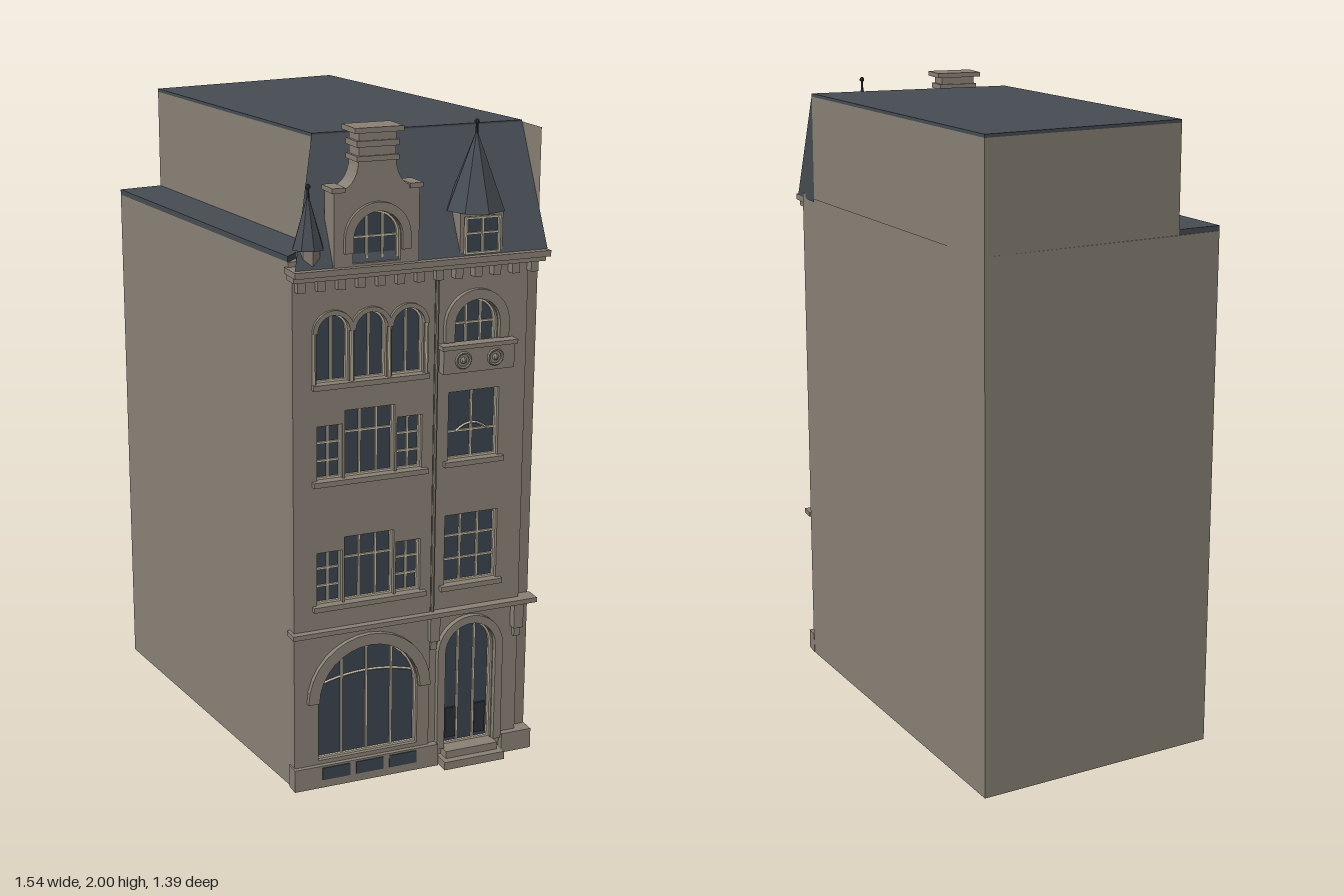
import * as THREE from 'three';

const mat = (name, color, side = THREE.FrontSide) => {
  const m = new THREE.MeshStandardMaterial({ color, side, flatShading: true });
  m.name = name;
  return m;
};

export function createModel() {
  const stone = mat('stone', 0x8a8276), slate = mat('slate', 0x474d54);
  const glass = mat('glass', 0x3b444e), trim = mat('cream trim', 0xc6bda6);
  const iron = mat('dark iron', 0x2b3036);
  const root = new THREE.Group();
  root.name = 'townhouse';

  // The street front has its own frame: x along the wall, z outwards
  const ANGLE = 0.845, OX = 0.203, OZ = 0.658;
  const c = Math.cos(ANGLE), s = Math.sin(ANGLE);
  const facade = new THREE.Group();
  facade.name = 'facade';
  facade.rotation.y = ANGLE;
  facade.position.set(OX, 0, OZ);
  root.add(facade);
  const world = (u, n) => [OX + c * u + s * n, OZ - s * u + c * n];

  const add = (name, geo, m, parent = facade) => {
    const mesh = new THREE.Mesh(geo, m);
    mesh.name = name;
    parent.add(mesh);
    return mesh;
  };
  const box = (name, m, u0, u1, y0, y1, z0, z1) =>
    add(name, new THREE.BoxGeometry(u1 - u0, y1 - y0, z1 - z0), m)
      .position.set((u0 + u1) / 2, (y0 + y1) / 2, (z0 + z1) / 2);
  const slab = (name, m, shape, z0, z1) =>
    add(name, new THREE.ExtrudeGeometry(shape, { depth: z1 - z0, bevelEnabled: false, curveSegments: 8 }), m)
      .position.z = z0;
  const prism = (name, m, pts, y0, y1) => {
    const shape = new THREE.Shape(pts.map(([x, z]) => new THREE.Vector2(x, -z)));
    const geo = new THREE.ExtrudeGeometry(shape, { depth: y1 - y0, bevelEnabled: false });
    add(name, geo.rotateX(-Math.PI / 2).translate(0, y0, 0), m, root);
  };
  const faces = (name, m, pts) => {
    const geo = new THREE.BufferGeometry();
    geo.setAttribute('position', new THREE.Float32BufferAttribute(pts.flat(), 3));
    geo.computeVertexNormals();
    add(name, geo, m);
  };

  // Main block, upper block and flat roofs
  const back = [-0.34, -0.69], left = [-0.77, -0.01], inner = [-0.69, -0.13];
  const ridge = [world(0.12, -0.14), world(0.787, -0.14)];
  prism('mainBlock', stone, [left, world(0, -0.02), world(0.745, -0.02), [0.71, 0.05], back], 0, 1.625);
  prism('lowerRoof', slate, [left, world(0, -0.02), ridge[0], inner], 1.625, 1.642);
  prism('upperBlock', stone, [inner, ...ridge, back], 1.62, 1.952);
  prism('flatRoof', slate, [inner, ...ridge, back], 1.952, 1.962);

  // Steep front roof with its two ends, and the party wall beside it
  const A = [0, 1.61, 0.035], B = [0.79, 1.61, 0.035], C = [0.12, 1.957, -0.14];
  const D = [0.787, 1.957, -0.14], E = [0.787, 1.61, -0.14], G = [0.12, 1.61, -0.14];
  faces('steepRoof', slate, [A, B, D, A, D, C, B, E, D, A, C, G]);
  faces('partyWall', stone, [D, [0.788, 1.7, -0.02], [0.788, 1.957, -0.02]]);

  // Rectangular or round-headed outline
  const outline = (T, u, y0, w, h, arched) => {
    const p = new T(), r = w / 2;
    p.moveTo(u - r, y0).lineTo(u + r, y0);
    if (arched) {
      p.lineTo(u + r, y0 + h - r);
      p.absarc(u, y0 + h - r, r, 0, Math.PI, false);
    } else p.lineTo(u + r, y0 + h).lineTo(u - r, y0 + h);
    p.closePath();
    return p;
  };
  const topAt = (o, du) => o.y + o.h - (o.arched ? o.w / 2 - Math.sqrt(Math.max(0, (o.w / 2) ** 2 - du * du)) : 0);

  // Glass, frame and glazing bars set back into an opening
  const glaze = (o, z) => {
    const { u, y, w, h, arched } = o, t = 0.006;
    slab('windowGlass', glass, outline(THREE.Shape, u, y, w, h, arched), z, z + 0.003);
    const frame = outline(THREE.Shape, u, y, w, h, arched);
    frame.holes.push(outline(THREE.Path, u, y + t, w - 2 * t, h - 2 * t, arched));
    slab('windowFrame', trim, frame, z + 0.003, z + 0.011);
    for (let i = 1; i < o.cols; i++) {
      const du = -w / 2 + w * i / o.cols;
      box('mullion', trim, u + du - 0.003, u + du + 0.003, y, topAt(o, du) - 0.002, z + 0.003, z + 0.01);
    }
    for (const r of o.rows || [])
      box('transom', trim, u - w / 2, u + w / 2, r - 0.003, r + 0.003, z + 0.003, z + 0.009);
    if (o.sill) box('sill', stone, u - w / 2 - 0.015, u + w / 2 + 0.015, y - 0.016, y, z, z + 0.04);
  };
  const archBand = (name, u, spring, r, band, z0, z1, leg = 0, m = stone) => {
    const p = new THREE.Shape();
    p.moveTo(u + r, spring - leg).lineTo(u + r + band, spring - leg).lineTo(u + r + band, spring);
    p.absarc(u, spring, r + band, 0, Math.PI, false);
    p.lineTo(u - r - band, spring - leg).lineTo(u - r, spring - leg).lineTo(u - r, spring);
    p.absarc(u, spring, r, Math.PI, 0, true);
    slab(name, m, p, z0, z1);
  };

  // Openings of the wide left bay and the narrow right bay
  const L = 0.24, R = 0.577;
  const leftBay = [{ u: L, y: 0.085, w: 0.325, h: 0.358, arched: true, cols: 4 }];
  for (const y of [0.59, 0.978]) {
    leftBay.push({ u: L, y, w: 0.158, h: 0.205, cols: 3, rows: [y + 0.135], sill: true });
    for (const d of [-1, 1])
      leftBay.push({ u: L + d * 0.126, y, w: 0.08, h: 0.165, cols: 2, rows: [y + 0.055, y + 0.11], sill: true });
  }
  for (const d of [-1, 0, 1])
    leftBay.push({ u: L + d * 0.117, y: 1.27, w: 0.1, h: 0.2, arched: true, cols: 2, sill: true });
  const rightBay = [
    { u: R, y: 0.05, w: 0.165, h: 0.405, arched: true, cols: 3 },
    { u: R, y: 0.59, w: 0.175, h: 0.222, cols: 3, rows: [0.665, 0.74], sill: true },
    { u: R, y: 0.985, w: 0.165, h: 0.212, cols: 2, rows: [1.07], sill: true },
    { u: R, y: 1.33, w: 0.14, h: 0.142, arched: true, cols: 3, rows: [1.4] },
  ];
  const bay = (name, u0, u1, front, openings) => {
    const p = new THREE.Shape();
    p.moveTo(u0, 0).lineTo(u1, 0).lineTo(u1, 1.6).lineTo(u0, 1.6).closePath();
    for (const o of openings) p.holes.push(outline(THREE.Path, o.u, o.y, o.w, o.h, o.arched));
    slab(name, stone, p, -0.021, front);
    openings.forEach(o => glaze(o, front - 0.024));
  };
  bay('leftBayWall', 0, 0.442, 0.012, leftBay);
  bay('rightBayWall', 0.442, 0.745, 0.004, rightBay);

  // Curved glazing bars
  archBand('shopTransom', L, 0.12, 0.222, 0.006, -0.01, -0.001, 0, trim);
  facade.children.pop();
  const bar = (u, y, w, rise, z) => {
    const curve = new THREE.QuadraticBezierCurve3(new THREE.Vector3(u - w / 2, y, z),
      new THREE.Vector3(u, y + 2 * rise, z), new THREE.Vector3(u + w / 2, y, z));
    add('curvedBar', new THREE.TubeGeometry(curve, 10, 0.004, 4), trim);
  };
  bar(L, 0.325, 0.31, 0.025, -0.006);
  bar(R, 1.07, 0.1, 0.022, -0.012);

  // Arch surrounds
  archBand('shopArch', L, 0.28, 0.165, 0.035, 0.01, 0.028);
  archBand('doorArch', R, 0.372, 0.085, 0.025, 0, 0.022, 0.32);
  archBand('balconyArch', R, 1.402, 0.073, 0.03, 0, 0.02, 0.05);
  for (const d of [-1, 0, 1]) archBand('archHood', L + d * 0.117, 1.42, 0.05, 0.014, 0.01, 0.022);
  for (const d of [-1.5, -0.5, 0.5, 1.5]) {
    const column = new THREE.CylinderGeometry(0.006, 0.006, 0.15, 8);
    add('windowColumn', column, trim).position.set(L + d * 0.117, 1.345, 0.014);
  }

  // Plinth, basement lights, steps and door leaves
  box('plinth', stone, -0.005, 0.47, 0, 0.072, -0.02, 0.026);
  box('plinth', stone, 0.69, 0.792, 0, 0.065, -0.03, 0.024);
  for (const d of [-1, 0, 1]) box('basementLight', glass, L + d * 0.11 - 0.045, L + d * 0.11 + 0.045, 0.026, 0.066, 0.026, 0.029);
  box('lowerStep', stone, 0.475, 0.68, 0, 0.026, -0.02, 0.065);
  box('upperStep', stone, 0.49, 0.665, 0.026, 0.05, -0.02, 0.042);
  for (const d of [-1, 1]) box('doorPanel', iron, R + d * 0.05 - 0.018, R + d * 0.05 + 0.018, 0.07, 0.17, -0.017, -0.009);

  // String course, brackets and downpipe
  box('stringCourse', stone, -0.01, 0.795, 0.498, 0.513, -0.02, 0.034);
  for (const u of [0.452, 0.735]) {
    box('bracket', stone, u - 0.016, u + 0.016, 0.42, 0.498, -0.01, 0.03);
    box('bracketFoot', stone, u - 0.01, u + 0.01, 0.39, 0.42, -0.01, 0.02);
  }
  add('downpipe', new THREE.CylinderGeometry(0.006, 0.006, 1.06, 8), stone).position.set(0.45, 1.043, 0.01);

  // Cornice with dentils
  box('cornice', stone, -0.008, 0.79, 1.592, 1.61, -0.03, 0.058);
  box('frieze', stone, -0.004, 0.785, 1.575, 1.592, -0.02, 0.036);
  for (let i = 0; i < 13; i++) {
    const u = 0.02 + i * 0.061;
    box('dentil', stone, u - 0.012, u + 0.012, 1.545, 1.576, -0.02, 0.032);
  }

  // Balcony front with rosettes
  box('balcony', stone, R - 0.115, R + 0.115, 1.262, 1.335, 0, 0.034);
  box('balconyRail', stone, R - 0.122, R + 0.122, 1.335, 1.348, 0, 0.042);
  for (const d of [-0.052, 0.052]) {
    add('rosette', new THREE.TorusGeometry(0.022, 0.005, 5, 14), stone).position.set(R + d, 1.3, 0.035);
    add('rosetteCentre', new THREE.SphereGeometry(0.01, 8, 6), stone).position.set(R + d, 1.3, 0.035);
  }

  // Shaped gable with its window and cap
  const g = 0.245, gable = new THREE.Shape();
  gable.moveTo(g - 0.13, 1.61).lineTo(g + 0.13, 1.61).lineTo(g + 0.13, 1.825);
  gable.quadraticCurveTo(g + 0.062, 1.825, g + 0.056, 1.91);
  gable.lineTo(g + 0.056, 1.95).lineTo(g - 0.056, 1.95).lineTo(g - 0.056, 1.91);
  gable.quadraticCurveTo(g - 0.062, 1.825, g - 0.13, 1.825);
  const light = { u: g, y: 1.618, w: 0.145, h: 0.145, arched: true, cols: 3, rows: [1.69] };
  gable.holes.push(outline(THREE.Path, g, light.y, light.w, light.h, true));
  slab('gable', stone, gable, -0.03, 0.04);
  glaze(light, 0.016);
  archBand('gableArch', g, 1.69, 0.075, 0.026, 0.038, 0.052, 0.04);
  for (const d of [-1, 1]) box('gableShoulder', stone, g + d * 0.118 - 0.02, g + d * 0.118 + 0.02, 1.822, 1.836, -0.034, 0.046);
  box('gableCollar', stone, g - 0.064, g + 0.064, 1.905, 1.92, -0.036, 0.046);
  box('gableCap', stone, g - 0.064, g + 0.064, 1.945, 1.962, -0.036, 0.046);
  box('gableCapTop', stone, g - 0.074, g + 0.074, 1.985, 2, -0.044, 0.054);
  box('gableNeck', stone, g - 0.056, g + 0.056, 1.96, 1.986, -0.03, 0.04);
  box('gableRoof', slate, g - 0.1, g + 0.1, 1.61, 1.8, -0.13, -0.03);

  // Spired roofs with finials
  const spire = (name, u, z, r, y0, y1, tip) => {
    add(name, new THREE.ConeGeometry(r, y1 - y0, 8), slate).position.set(u, (y0 + y1) / 2, z);
    add('finial', new THREE.CylinderGeometry(0.003, 0.005, tip - y1 + 0.03, 6), iron).position.set(u, (tip + y1 - 0.03) / 2, z);
    add('finialBall', new THREE.SphereGeometry(0.008, 8, 6), iron).position.set(u, tip - 0.008, z);
  };
  add('cornerTurret', new THREE.CylinderGeometry(0.036, 0.036, 0.055, 8), stone).position.set(0.055, 1.637, -0.005);
  spire('turretSpire', 0.055, -0.005, 0.047, 1.662, 1.82, 1.845);

  // Right dormer
  box('dormer', stone, R - 0.068, R + 0.068, 1.61, 1.735, -0.08, 0.03);
  glaze({ u: R, y: 1.615, w: 0.112, h: 0.108, cols: 2, rows: [1.675] }, 0.03);
  spire('dormerSpire', R, -0.015, 0.09, 1.735, 1.965, 1.995);

  return root;
}
